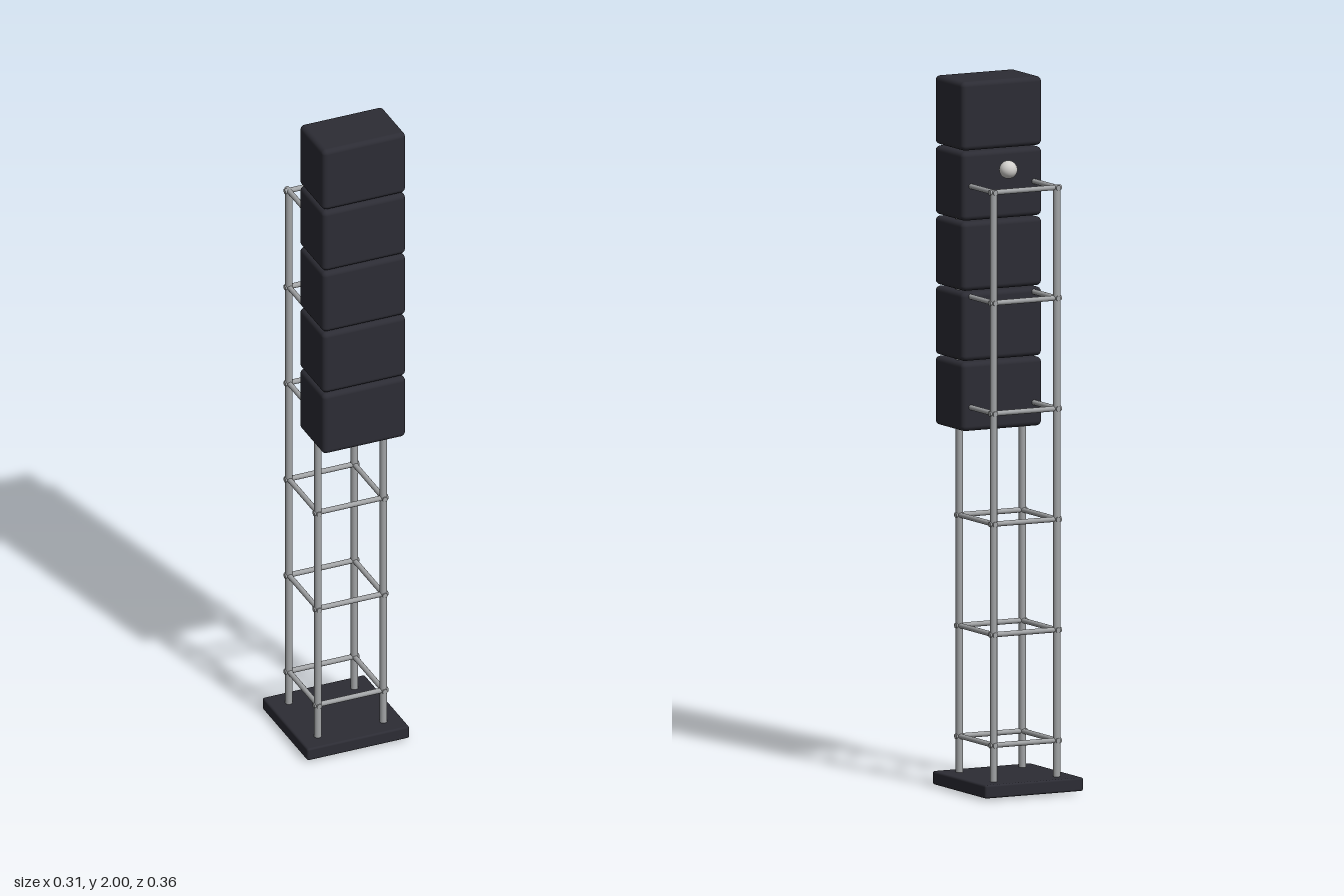
import * as THREE from 'three';
import { RoundedBoxGeometry } from 'three/addons/geometries/RoundedBoxGeometry.js';

const CZ = -0.0225;   // centre line of the tower
const HALF = 0.1;     // half the pole spacing
const RAIL_LENGTH = 0.226;
const TOWER_TOP = 1.708;

export function createModel() {
  const model = new THREE.Group();
  const black = new THREE.MeshStandardMaterial({ name: 'charcoal', color: 0x2c2c34 });
  const steel = new THREE.MeshStandardMaterial({ name: 'steel grey', color: 0xa2a4a6 });
  const pale = new THREE.MeshStandardMaterial({ name: 'pale grey', color: 0xd2d0cd });

  const add = (parent, name, geometry, material, x, y, z) => {
    const mesh = new THREE.Mesh(geometry, material);
    mesh.name = name;
    mesh.position.set(x, y, z);
    parent.add(mesh);
    return mesh;
  };

  // Base plate
  add(model, 'basePlate', new RoundedBoxGeometry(0.312, 0.038, 0.312, 3, 0.006), black, 0, 0.024, CZ);

  // Truss tower: four poles, with a square of rails at each level
  const truss = new THREE.Group();
  truss.name = 'trussTower';
  model.add(truss);
  const poleGeometry = new THREE.CylinderGeometry(0.0105, 0.0105, TOWER_TOP, 16);
  const railGeometry = new THREE.CylinderGeometry(0.0075, 0.0075, RAIL_LENGTH, 12);
  for (const sx of [-1, 1]) {
    for (const sz of [-1, 1]) {
      add(truss, 'pole', poleGeometry, steel, sx * HALF, TOWER_TOP / 2, CZ + sz * HALF);
    }
  }
  for (let i = 0; i < 6; i++) {
    const y = 0.145 + i * 0.3122;
    for (const s of [-1, 1]) {
      add(truss, 'crossRail', railGeometry, steel, 0, y, CZ + s * HALF).rotation.z = Math.PI / 2;
      add(truss, 'sideRail', railGeometry, steel, s * HALF, y, CZ).rotation.x = Math.PI / 2;
    }
  }

  // Stack of speaker cabinets hung on the front
  const stack = new THREE.Group();
  stack.name = 'speakerStack';
  model.add(stack);
  const pitch = 0.198;
  const cabinet = new RoundedBoxGeometry(0.254, 0.194, 0.168, 4, 0.014);
  for (let i = 0; i < 5; i++) {
    add(stack, 'speakerCabinet', cabinet, black, 0, 2 - 0.097 - i * pitch, 0.093);
  }

  // Ball floating over the top of the tower
  add(model, 'topBall', new THREE.SphereGeometry(0.0255, 24, 16), pale, -0.001, 1.75, CZ);

  return model;
}
